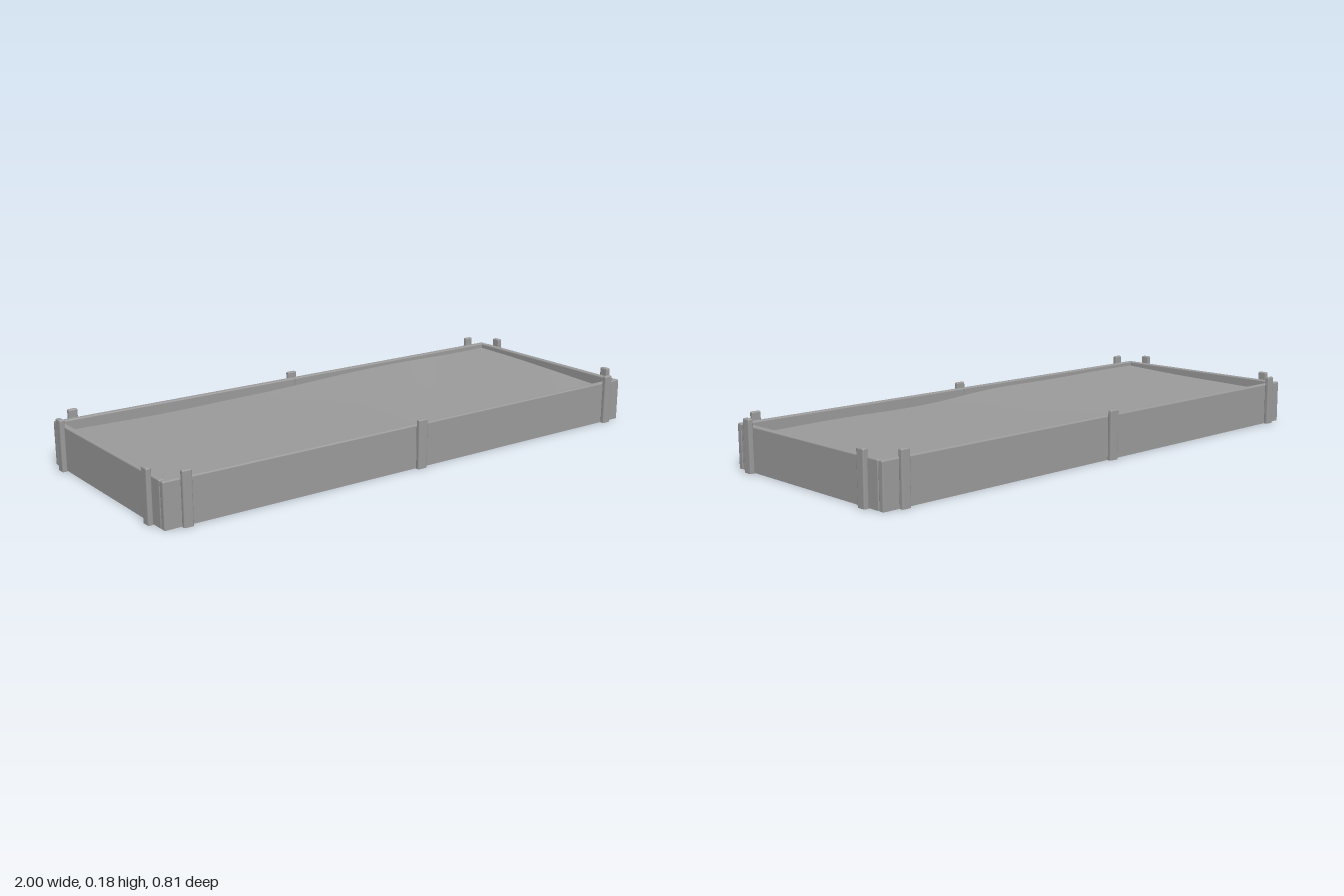
import * as THREE from 'three';
import { RoundedBoxGeometry } from 'three/addons/geometries/RoundedBoxGeometry.js';

const material = new THREE.MeshStandardMaterial({ color: 0x9a9a9a, side: THREE.DoubleSide });

// Rounded timber standing on the ground, open underneath
function timber(name, w, h, d, x, z) {
  const r = 0.005;
  const box = new RoundedBoxGeometry(w, h + r, d, 2, r).translate(0, (h - r) / 2, 0);
  const y = box.attributes.position;
  const kept = [];
  for (let i = 0; i < y.count; i += 3) {
    // Leave out the rounded base below the ground
    if (Math.min(y.getY(i), y.getY(i + 1), y.getY(i + 2)) > -1e-4) kept.push(i, i + 1, i + 2);
  }
  box.clearGroups();
  box.setIndex(kept);
  const mesh = new THREE.Mesh(box.toNonIndexed(), material);
  mesh.name = name;
  mesh.position.set(x, 0, z);
  return mesh;
}

// Gently uneven soil: opposite corners lie low, the other two high
function soilHeight(x, z) {
  return 0.126 - 0.03 * Math.tanh(5 * x) * z + 0.002 * Math.sin(9 * x + 7 * z);
}

export function createModel() {
  const bed = new THREE.Group();
  bed.name = 'raisedBed';

  for (const s of [-1, 1]) {
    // Long sides: two boards butted at the middle
    for (const e of [-1, 1]) {
      bed.add(timber('longBoard', 0.98, 0.154, 0.022, e * 0.49, s * 0.376));
    }
    // Short end board between the long sides
    bed.add(timber('endBoard', 0.022, 0.154, 0.73, s * 0.969, 0));

    // Stakes outside the long sides, the middle one shorter and wider
    for (const x of [-0.905, 0.905]) {
      bed.add(timber('sideStake', 0.034, 0.182, 0.017, x, s * 0.395));
    }
    bed.add(timber('middleStake', 0.038, 0.174, 0.017, 0, s * 0.395));

    // Stakes outside the ends
    for (const z of [-0.305, 0.305]) {
      bed.add(timber('endStake', 0.019, 0.182, 0.035, s * 0.9905, z));
    }
  }

  // Soil sheet filling the frame
  const sheet = new THREE.PlaneGeometry(1.922, 0.734, 40, 16).rotateX(-Math.PI / 2);
  const p = sheet.attributes.position;
  for (let i = 0; i < p.count; i++) p.setY(i, soilHeight(p.getX(i), p.getZ(i)));
  sheet.computeVertexNormals();
  const soil = new THREE.Mesh(sheet, material);
  soil.name = 'soil';
  bed.add(soil);

  return bed;
}
